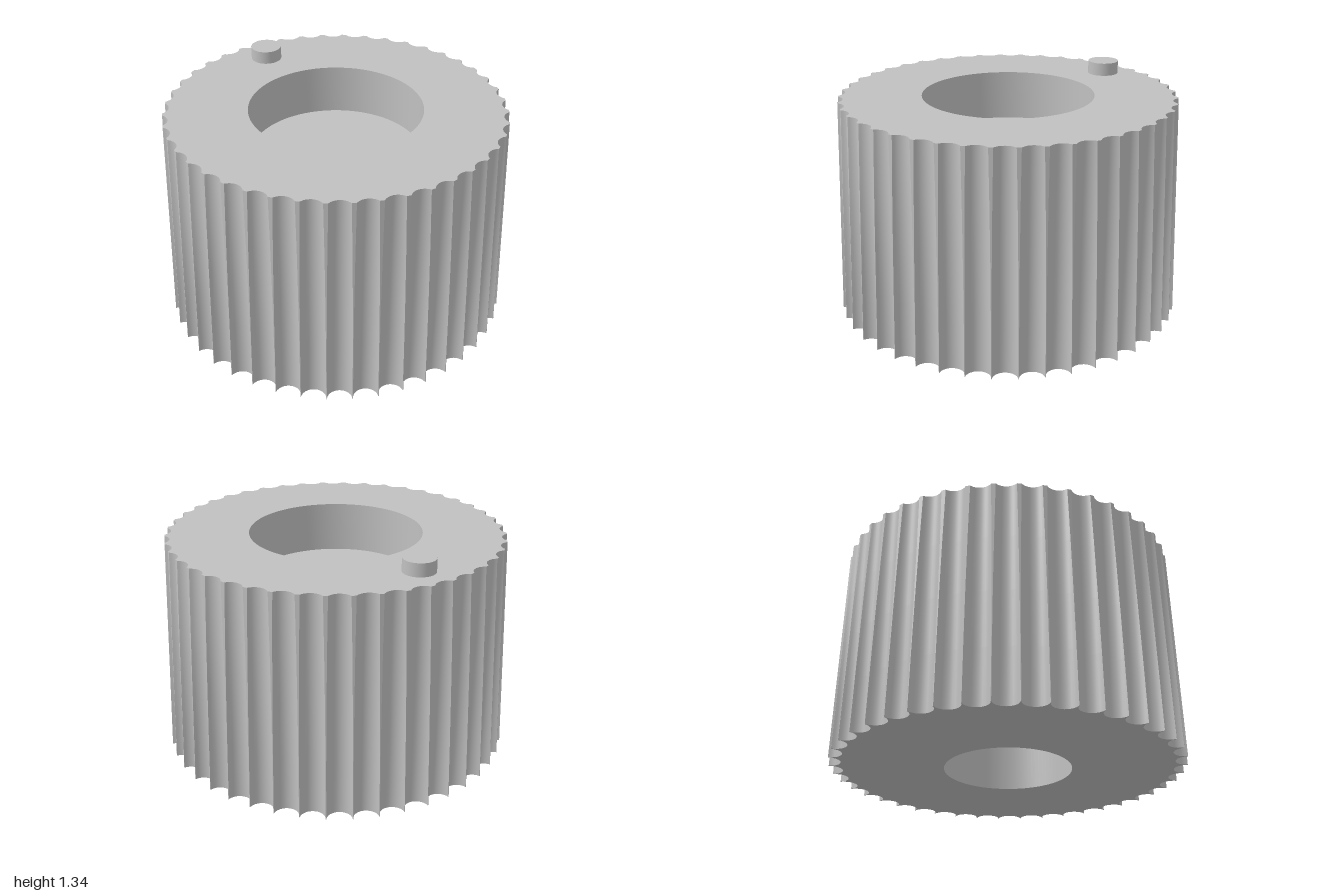
import * as THREE from 'three';
import { toCreasedNormals } from 'three/addons/utils/BufferGeometryUtils.js';

const FLUTES = 44, ARC = 12, LEVELS = 4;
const HEIGHT = 1.26, R_BOTTOM = 1.0, R_TOP = 0.96;
const FLUTE_CENTRE = 1.0, FLUTE_R = 0.07;
const RECESS_R = 0.49, RECESS_FLOOR = 0.97;
const BORE_R = 0.36, BORE_END = 0.75;

// Outline of the fluted body where its ridges have radius R
function outline(R) {
  const reach = Math.acos((FLUTE_CENTRE ** 2 + FLUTE_R ** 2 - R * R) / (2 * FLUTE_CENTRE * FLUTE_R));
  const points = [];
  for (let f = 0; f < FLUTES; f++) {
    const turn = (f / FLUTES) * Math.PI * 2;
    for (let i = 0; i <= ARC; i++) {
      const phi = reach * (2 * i / ARC - 1);
      points.push(new THREE.Vector2(FLUTE_CENTRE - FLUTE_R * Math.cos(phi), FLUTE_R * Math.sin(phi))
        .rotateAround(new THREE.Vector2(), turn));
    }
  }
  return points;
}

// Tapered side wall with vertical scooped flutes
function flutedWall() {
  const positions = [], index = [];
  const n = FLUTES * (ARC + 1);
  for (let j = 0; j <= LEVELS; j++) {
    const t = j / LEVELS;
    for (const p of outline(R_BOTTOM + (R_TOP - R_BOTTOM) * t)) positions.push(p.x, HEIGHT * t, -p.y);
  }
  for (let j = 0; j < LEVELS; j++) {
    for (let i = 0; i < n; i++) {
      const a = j * n + i, b = j * n + (i + 1) % n;
      index.push(a, b, b + n, a, b + n, a + n);
    }
  }
  const geometry = new THREE.BufferGeometry();
  geometry.setAttribute('position', new THREE.Float32BufferAttribute(positions, 3));
  geometry.setIndex(index);
  return toCreasedNormals(geometry, Math.PI / 7);
}

// Flat end face with a round opening
function endFace(R, holeR, tilt) {
  const shape = new THREE.Shape(outline(R));
  shape.holes.push(new THREE.Path().absarc(0, 0, holeR, 0, Math.PI * 2, true));
  return new THREE.ShapeGeometry(shape, 48).rotateX(tilt);
}

function pocket(profile) {
  const points = profile.map(([r, y]) => new THREE.Vector2(r, y));
  return toCreasedNormals(new THREE.LatheGeometry(points, 96), Math.PI / 7);
}

export function createModel() {
  const model = new THREE.Group();
  model.name = 'flutedKnob';
  const grey = new THREE.MeshStandardMaterial({ color: 0xc0c0c0 });
  grey.name = 'light grey';

  const add = (name, geometry) => {
    const mesh = new THREE.Mesh(geometry, grey);
    mesh.name = name;
    model.add(mesh);
    return mesh;
  };

  add('flutedWall', flutedWall());
  add('topFace', endFace(R_TOP, RECESS_R, -Math.PI / 2)).position.y = HEIGHT;
  add('bottomFace', endFace(R_BOTTOM, BORE_R, Math.PI / 2));

  // Shallow recess in the top and blind shaft bore in the bottom
  add('topRecess', pocket([[RECESS_R, HEIGHT], [RECESS_R, RECESS_FLOOR], [0, RECESS_FLOOR]]));
  add('shaftBore', pocket([[0, BORE_END], [BORE_R, BORE_END], [BORE_R, 0]]));

  // Small marker peg near the back edge
  add('markerPeg', new THREE.CylinderGeometry(0.09, 0.09, 0.09, 48)).position.set(0, 1.29, -0.76);

  return model;
}
